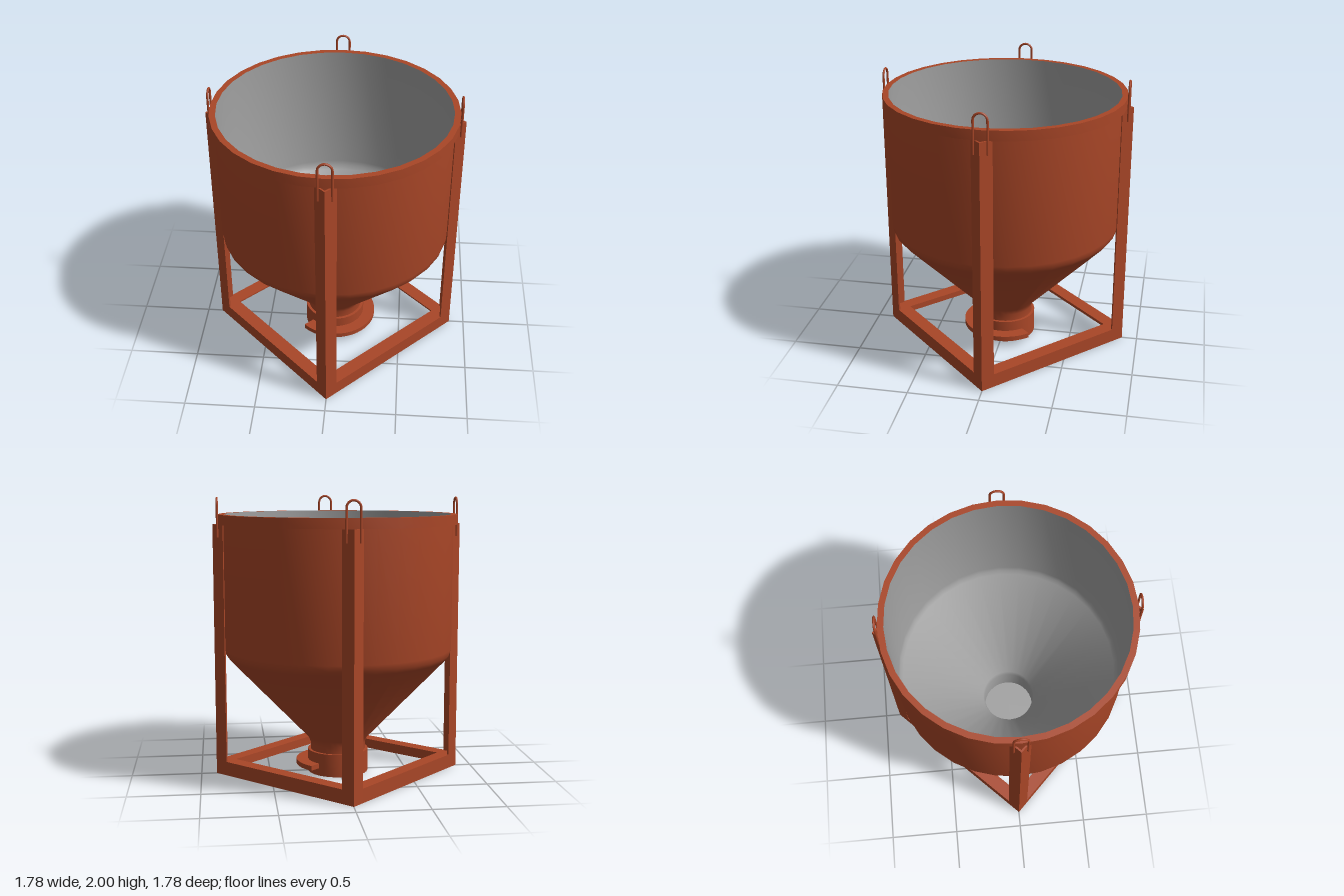
import * as THREE from 'three';
import { toCreasedNormals } from 'three/addons/utils/BufferGeometryUtils.js';

const SIDES = 32;

export function createModel() {
  const model = new THREE.Group();
  model.name = 'hopper';
  const rust = new THREE.MeshStandardMaterial({ color: 0xa94627 });
  rust.name = 'rust red paint';
  const steel = new THREE.MeshStandardMaterial({ color: 0xa0a0a0 });
  steel.name = 'bare grey steel';

  const add = (parent, name, geometry, material = rust) => {
    const mesh = new THREE.Mesh(geometry, material);
    mesh.name = name;
    parent.add(mesh);
    return mesh;
  };
  const lathe = (points, crease = 0.6) => toCreasedNormals(
    new THREE.LatheGeometry(points.map(([r, y]) => new THREE.Vector2(r, y)), SIDES), crease);

  // Outer shell: neck, cone, rounded shoulder and drum
  add(model, 'shell', lathe([
    [0.2, 0.16], [0.2, 0.215], [0.215, 0.255], [0.79, 0.855],
    [0.812, 0.885], [0.82, 0.925], [0.82, 1.82],
  ]));

  // Rim band around the mouth
  add(model, 'rim', lathe([[0.815, 1.81], [0.85, 1.81], [0.85, 1.88], [0.808, 1.88]]));

  // Grey lining with the closed gate as its floor
  add(model, 'lining', lathe([
    [0.808, 1.88], [0.808, 0.925], [0.8, 0.89], [0.78, 0.86],
    [0.2, 0.255], [0.19, 0.215], [0.19, 0.02], [0, 0.02],
  ]), steel);

  // Outlet collar, closed underneath
  add(model, 'outletCollar', lathe([[0, 0], [0.22, 0], [0.22, 0.165], [0.195, 0.165]]));

  // Half-ring lip on one side of the outlet
  const lip = new THREE.Shape();
  lip.absarc(0, 0, 0.305, -Math.PI / 2, Math.PI / 2, false);
  lip.lineTo(0, 0.27);
  lip.absarc(0, 0, 0.21, Math.PI / 2, -Math.PI / 2, true);
  const lipGeometry = new THREE.ExtrudeGeometry(lip, { depth: 0.035, bevelEnabled: false, curveSegments: 16 });
  lipGeometry.rotateX(-Math.PI / 2).rotateY(-Math.PI / 4).translate(0, 0.055, 0);
  add(model, 'gateLip', toCreasedNormals(lipGeometry, 0.6));

  // Square frame of angle steel, turned so its corners face the four axes
  const frame = new THREE.Group();
  frame.name = 'frame';
  frame.rotation.y = Math.PI / 4;
  model.add(frame);

  const half = 0.89 / Math.SQRT2, arm = 0.1, wall = 0.012, legHeight = 1.81;
  const angle = new THREE.Shape([
    [0, 0], [-arm, 0], [-arm, -wall], [-wall, -wall], [-wall, -arm], [0, -arm],
  ].map(([x, y]) => new THREE.Vector2(x, y)));
  const legGeometry = new THREE.ExtrudeGeometry(angle, { depth: legHeight, bevelEnabled: false });
  legGeometry.rotateX(-Math.PI / 2).translate(half, 0, -half);

  const span = 2 * (half - arm);
  const barWall = new THREE.BoxGeometry(span, arm, wall).translate(0, arm / 2, half - wall / 2);
  const barFlange = new THREE.BoxGeometry(2 * (half - wall), wall, arm - wall)
    .translate(0, arm - wall / 2, half - (arm + wall) / 2);

  // Lifting loop: two straight legs joined by a half circle
  const loopR = 0.047, bend = 1.945;
  const loop = new THREE.CurvePath();
  const v = (x, y) => new THREE.Vector3(x, y, 0.857);
  const arc = Array.from({ length: 13 }, (_, i) => {
    const t = Math.PI * (1 - i / 12);
    return v(loopR * Math.cos(t), bend + loopR * Math.sin(t));
  });
  loop.add(new THREE.LineCurve3(v(-loopR, 1.72), arc[0]));
  loop.add(new THREE.CatmullRomCurve3(arc));
  loop.add(new THREE.LineCurve3(arc[12], v(loopR, 1.72)));
  const loopGeometry = new THREE.TubeGeometry(loop, 48, 0.008, 8);
  const capGeometry = new THREE.CircleGeometry(0.008, 8).rotateX(Math.PI / 2);

  for (let i = 0; i < 4; i++) {
    const turn = i * Math.PI / 2;
    const side = new THREE.Group();
    side.name = 'frameSide';
    side.rotation.y = turn;
    frame.add(side);
    add(side, 'leg', legGeometry);
    add(side, 'baseBarWall', barWall);
    add(side, 'baseBarFlange', barFlange);

    const lift = new THREE.Group();
    lift.name = 'liftingLoop';
    lift.rotation.y = turn;
    model.add(lift);
    add(lift, 'loop', loopGeometry);
    for (const s of [-1, 1]) add(lift, 'loopEnd', capGeometry).position.set(s * loopR, 1.72, 0.857);
  }
  return model;
}
